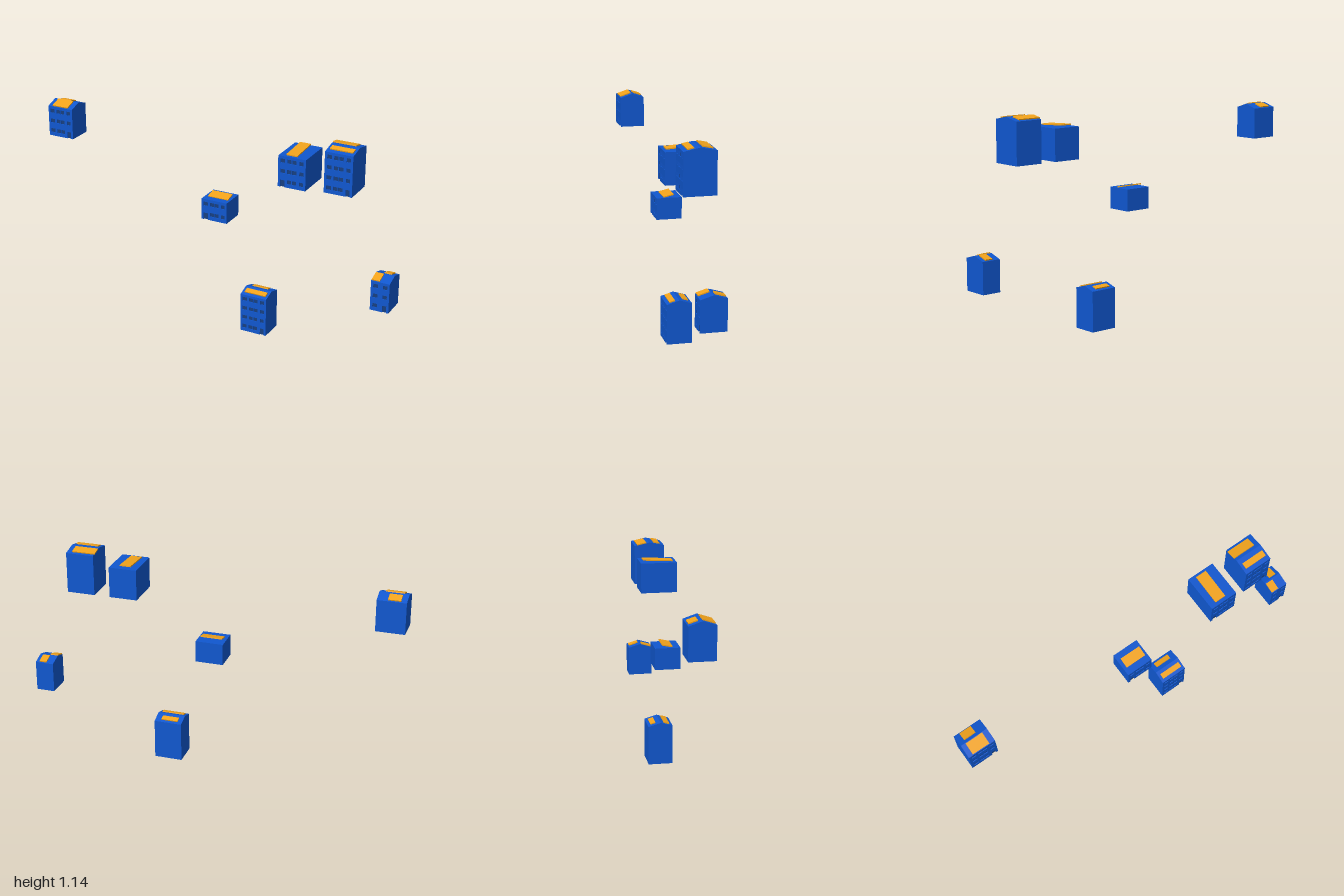
import * as THREE from 'three';

const mat = (color) => new THREE.MeshStandardMaterial({ color });
const wallMat = mat(0x1057cf), glassMat = mat(0x173f80), panelMat = mat(0xf2a31b);

const BACK = -0.1, RECESS = 0.006, PANEL_T = 0.006;

// x0/x1: sides, base: bottom, eave: wall height, rise: gable height, front: front z
// panels: [x0, x1, z0, z1], optional own heights at z0 and z1 for flat roofs
const HOUSES = [
  { x0: -1, x1: -0.85, base: 0.905, eave: 0.167, rise: 0.022, front: 0.033, floors: 3, door: 'right',
    panels: [[-0.97, -0.905, -0.094, -0.05], [-0.975, -0.88, -0.03, 0.03]] },
  { x0: -0.063, x1: 0.085, base: 0.603, eave: 0.115, rise: 0, front: 0.033, floors: 2, door: 'left',
    panels: [[-0.045, 0.072, -0.06, -0.005, 0.731, 0.719]] },
  { x0: 0.17, x1: 0.32, base: 0, eave: 0.215, rise: 0.02, front: 0.033, floors: 4, door: 'right',
    panels: [[0.195, 0.286, -0.086, -0.058], [0.185, 0.307, -0.013, 0.016]] },
  { x0: 0.9, x1: 1, base: 0.303, eave: 0.163, rise: 0.02, front: 0.033, floors: 3, door: 'right',
    panels: [[0.94, 0.98, -0.095, -0.043], [0.902, 0.945, -0.026, 0.03]] },
  { x0: 0.64, x1: 0.79, base: 0.905, eave: 0.217, rise: 0.017, front: 0.065, floors: 4, door: 'right',
    panels: [[0.637, 0.762, -0.086, -0.035], [0.655, 0.778, 0.01, 0.042]] },
  { x0: 0.405, x1: 0.555, base: 0.905, eave: 0.165, rise: 0, front: 0.098, floors: 3, door: 'left',
    panels: [[0.44, 0.5, -0.083, 0.08, 1.082, 1.073]] },
];

function addMesh(group, name, geometry, material, x = 0, y = 0, z = 0) {
  const mesh = new THREE.Mesh(geometry, material);
  mesh.name = name;
  mesh.position.set(x, y, z);
  group.add(mesh);
  return mesh;
}

function rectHole(x0, y0, x1, y1) {
  const p = new THREE.Path();
  p.moveTo(x0, y0).lineTo(x0, y1).lineTo(x1, y1).lineTo(x1, y0).closePath();
  return p;
}

// Front wall with recessed windows and a doorway cut into its lower edge
function facadeGeometry(w, h, floors, door) {
  const narrow = w < 0.12;
  const left = [0.013, 0.038], right = [w - 0.034, w - 0.012];
  const columns = narrow ? [left, right] : [left, [0.05, 0.073], [0.077, 0.1], right];
  const doorColumn = door === 'left' ? left : right;
  const [d0, d1] = doorColumn;
  const shape = new THREE.Shape();
  shape.moveTo(0, 0).lineTo(d0, 0).lineTo(d0, 0.037).lineTo(d1, 0.037).lineTo(d1, 0)
    .lineTo(w, 0).lineTo(w, h).lineTo(0, h).closePath();
  const pitch = h / floors;
  for (let f = 0; f < floors; f++) {
    const y = (f + 0.54) * pitch;
    for (const c of columns) {
      if (f === 0 && c === doorColumn) continue;
      shape.holes.push(rectHole(c[0], y - 0.011, c[1], y + 0.011));
    }
  }
  return new THREE.ExtrudeGeometry(shape, { depth: RECESS, bevelEnabled: false });
}

// Wall block whose side outline carries the flat or gabled roof
function bodyGeometry(w, h, back, front, rise) {
  const mid = (back + front) / 2, inner = front - RECESS;
  const s = new THREE.Shape();
  s.moveTo(-inner, 0).lineTo(-back, 0).lineTo(-back, h);
  if (rise) s.lineTo(-mid, h + rise).lineTo(-front, h);
  s.lineTo(-inner, h).closePath();
  const g = new THREE.ExtrudeGeometry(s, { depth: w, bevelEnabled: false });
  return g.rotateY(Math.PI / 2);
}

function buildHouse(h) {
  const house = new THREE.Group();
  house.name = 'house';
  const w = h.x1 - h.x0, mid = (BACK + h.front) / 2;
  const inner = h.front - RECESS;

  addMesh(house, 'walls and roof', bodyGeometry(w, h.eave, BACK, h.front, h.rise), wallMat, h.x0, h.base, 0);
  addMesh(house, 'facade', facadeGeometry(w, h.eave, h.floors, h.door), wallMat, h.x0, h.base, inner);
  addMesh(house, 'window glass and door', new THREE.PlaneGeometry(w - 0.006, h.eave - 0.004), glassMat,
    h.x0 + w / 2, h.base + h.eave / 2, inner + 0.001);

  // Solar panels follow the roof slope, or lean on a flat roof
  const roofY = (z) => h.base + h.eave + h.rise * (1 - Math.abs(z - mid) / (mid - BACK)) + 0.003;
  for (const [x0, x1, z0, z1, ya = roofY(z0), yb = roofY(z1)] of h.panels) {
    const length = Math.hypot(z1 - z0, yb - ya);
    const panel = addMesh(house, 'solar panel', new THREE.BoxGeometry(x1 - x0, PANEL_T, length), panelMat,
      (x0 + x1) / 2, (ya + yb) / 2, (z0 + z1) / 2);
    panel.rotation.x = -Math.atan2(yb - ya, z1 - z0);
  }
  return house;
}

export function createModel() {
  const model = new THREE.Group();
  model.name = 'solar houses';
  for (const h of HOUSES) model.add(buildHouse(h));
  return model;
}
